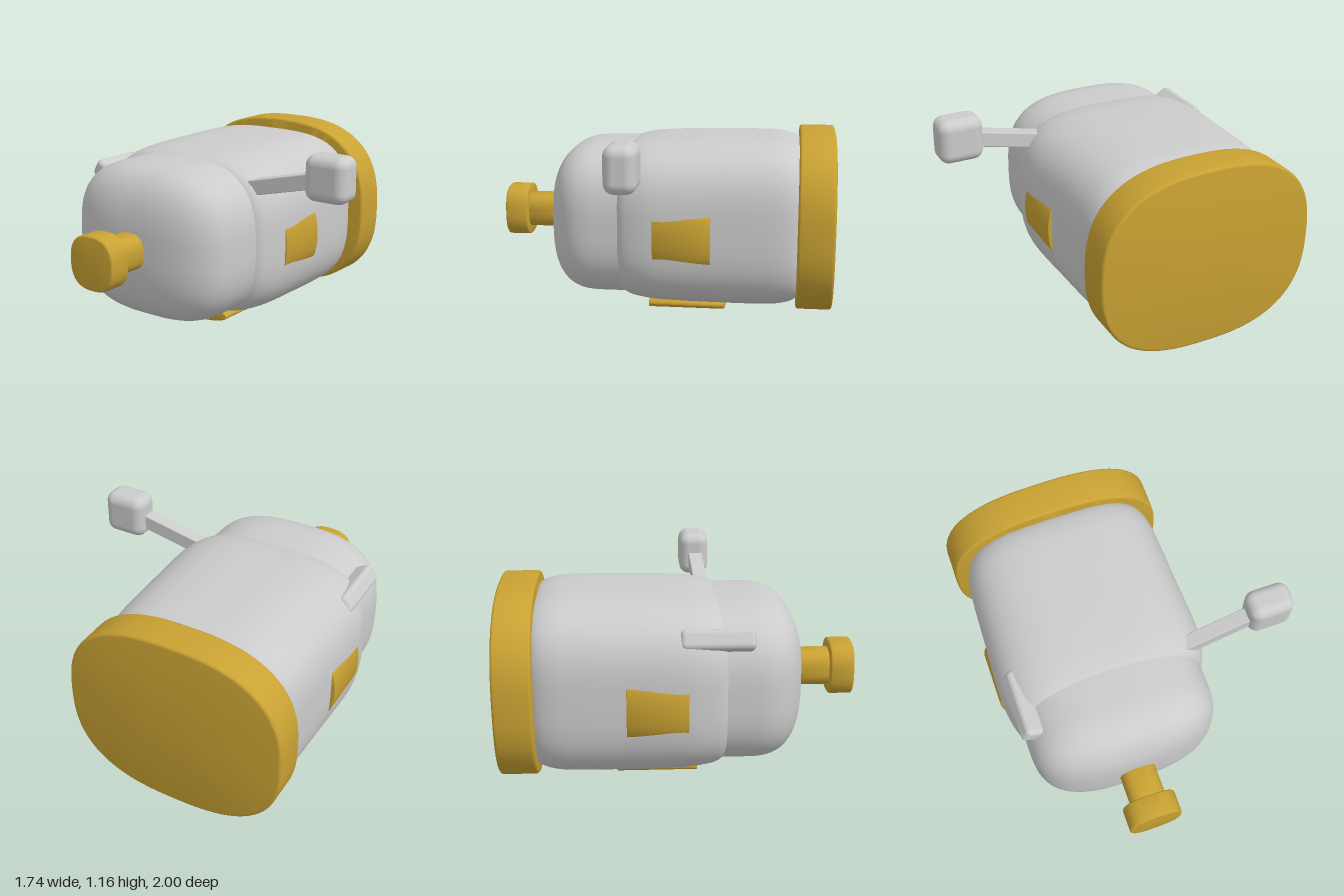
import * as THREE from 'three';
import { toCreasedNormals } from 'three/addons/utils/BufferGeometryUtils.js';
import { RoundedBoxGeometry } from 'three/addons/geometries/RoundedBoxGeometry.js';

const CX = -0.232, CY = 0.583; // axis of the rounded body
const grey = new THREE.MeshStandardMaterial({ color: 0xcccccc });
const gold = new THREE.MeshStandardMaterial({ color: 0xc9a233 });

// Skin rounded-square (superellipse) rings [z, halfWidth, halfHeight], front to back, with closed ends
function loft(rings, power, segments = 96) {
  const pos = [], index = [];
  for (const [z, a, b] of rings) {
    for (let j = 0; j < segments; j++) {
      const t = (j / segments) * Math.PI * 2, c = Math.cos(t), s = Math.sin(t);
      const r = (Math.abs(c) ** power + Math.abs(s) ** power) ** (-1 / power);
      pos.push(a * r * c, b * r * s, z);
    }
  }
  const last = (rings.length - 1) * segments, front = rings.length * segments, back = front + 1;
  pos.push(0, 0, rings[0][0], 0, 0, rings[rings.length - 1][0]);
  for (let j = 0; j < segments; j++) {
    const k = (j + 1) % segments;
    index.push(front, j, k, back, last + k, last + j);
    for (let i = 0; i < last; i += segments) {
      index.push(i + j, i + segments + j, i + k, i + k, i + segments + j, i + segments + k);
    }
  }
  const geo = new THREE.BufferGeometry();
  geo.setAttribute('position', new THREE.Float32BufferAttribute(pos, 3));
  geo.setIndex(index);
  return toCreasedNormals(geo, 0.6);
}

// Straight loft with a small rounded rim at both ends
function slab(z0, z1, a, b, power, rim) {
  const rings = [];
  for (let i = 0; i <= 4; i++) {
    const t = (i / 4) * Math.PI / 2, inset = rim * (1 - Math.sin(t));
    rings.push([z0 - rim * (1 - Math.cos(t)), a - inset, b - inset]);
  }
  const tail = rings.map(([z, x, y]) => [z0 + z1 - z, x, y]).reverse();
  return loft([...rings, ...tail], power);
}

export function createModel() {
  const model = new THREE.Group();
  const add = (name, geo, mat, x = CX, y = CY, z = 0) => {
    const mesh = new THREE.Mesh(geo, mat);
    mesh.name = name;
    mesh.position.set(x, y, z);
    model.add(mesh);
    return mesh;
  };

  // Front housing with a domed nose
  const nose = [];
  for (let i = 0; i <= 24; i++) {
    const t = (i / 24) * Math.PI / 2;
    const z = 0.36 + 0.33 * Math.cos(t) ** (2 / 2.8);
    const k = Math.max(Math.sin(t) ** (2 / 2.8), 0.01);
    nose.push([z, 0.551 * k, 0.458 * k]);
  }
  nose.push([0.1, 0.551, 0.458]);
  add('frontHousing', loft(nose, 2.95), grey);

  // Larger rear housing, smoothly swelling and tucking in at both ends
  const curve = new THREE.CatmullRomCurve3([
    [0.27, 0.49, 0.37], [0.24, 0.55, 0.42], [0.2, 0.58, 0.457], [0.1, 0.605, 0.479],
    [0, 0.612, 0.488], [-0.3, 0.6, 0.498], [-0.55, 0.591, 0.5], [-0.68, 0.581, 0.495],
    [-0.76, 0.56, 0.477], [-0.82, 0.52, 0.445],
  ].map((p) => new THREE.Vector3(...p)));
  add('rearHousing', loft(curve.getPoints(50).map((p) => p.toArray()), 3.25), grey);

  // Rear cap
  add('rearCap', slab(-0.79, -1, 0.642, 0.537, 2.6, 0.016), gold);

  // Front knob on its stem
  add('knobStem', slab(0.88, 0.6, 0.105, 0.105, 2.6, 0.004), gold, CX, 0.58);
  add('knob', slab(1, 0.865, 0.156, 0.156, 2.6, 0.012), gold, CX, 0.58);

  // Lens-shaped pads: one under the body, one on each side
  add('bottomPad', slab(0.1, -0.36, 0.23, 0.05, 2.1, 0.005), gold, CX, 0.05);
  for (const side of [-1, 1]) {
    add(side > 0 ? 'leftSidePad' : 'rightSidePad',
      slab(0.03, -0.3, 0.045, 0.15, 2, 0.003), gold, CX + side * 0.579, 0.552);
  }

  // Crank arm and handle
  const from = new THREE.Vector3(0.12, 0.885, 0.165), to = new THREE.Vector3(0.72, 1.025, 0.145);
  const arm = add('crankArm', new RoundedBoxGeometry(0.085, 0.088, from.distanceTo(to), 2, 0.006), grey);
  arm.position.copy(from).lerp(to, 0.5);
  arm.lookAt(to);
  add('crankHandle', new RoundedBoxGeometry(0.26, 0.26, 0.18, 6, 0.06), grey, 0.74, 1.03, 0.14);

  // Short lug lying along the opposite shoulder
  const lug = add('shoulderLug', new RoundedBoxGeometry(0.125, 0.112, 0.4, 4, 0.03), grey, -0.727, 0.91, 0.187);
  lug.rotation.z = -0.52;

  return model;
}
